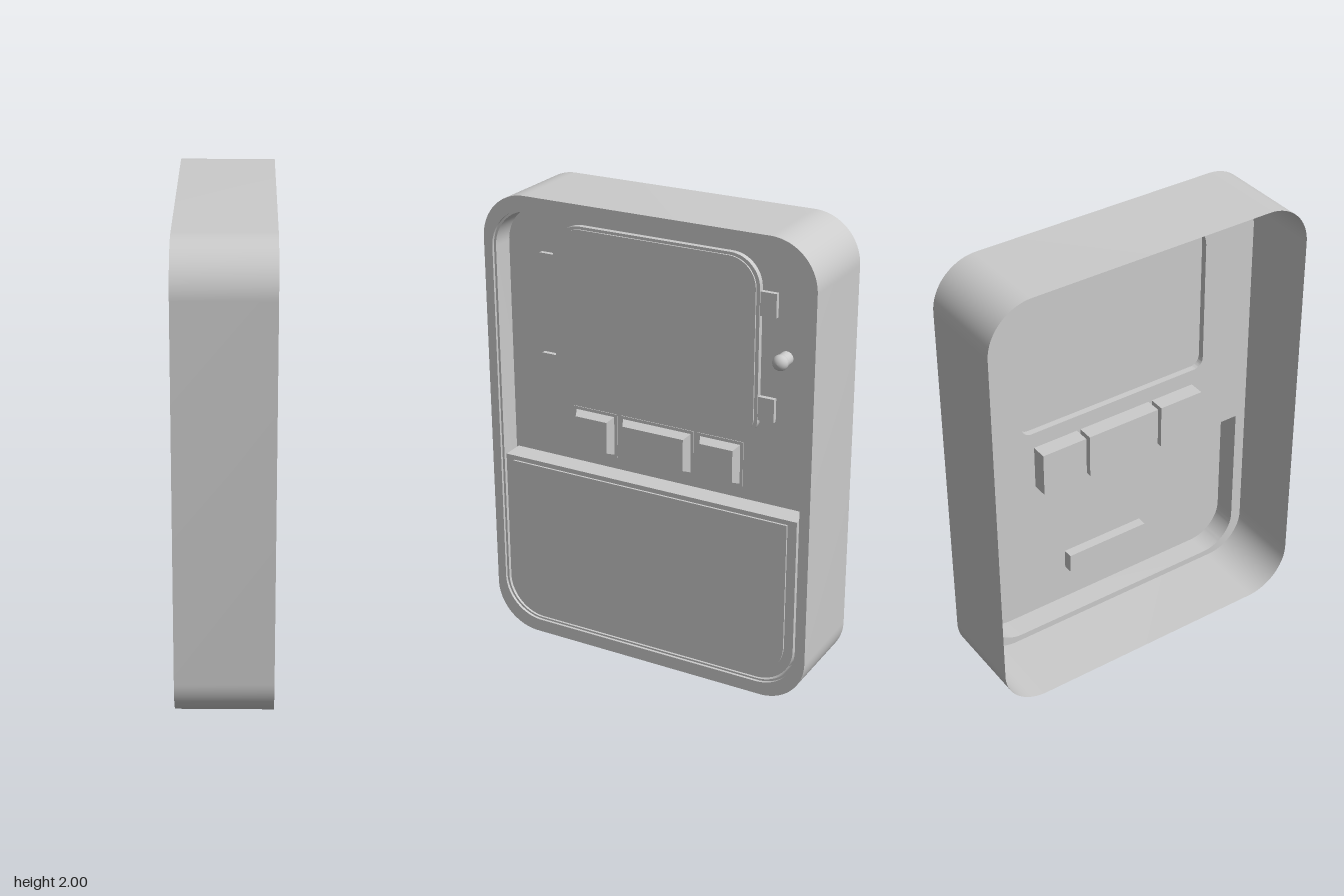
import * as THREE from 'three';
import { toCreasedNormals } from 'three/addons/utils/BufferGeometryUtils.js';

const material = new THREE.MeshStandardMaterial({ color: 0xcccccc, side: THREE.DoubleSide });

// Upright outline of half width w between heights y0 and y1, with its own top and bottom corner radii
function outline(w, y0, y1, rTop = 0, rBottom = rTop, centre = 0) {
  const s = new THREE.Shape();
  const corner = (cx, cy, r, start) => {
    if (r > 0) s.absarc(cx, cy, r, start, start + Math.PI / 2, false);
    else s.lineTo(cx, cy);
  };
  const a = centre - w, b = centre + w;
  s.moveTo(a + rBottom, y0);
  corner(b - rBottom, y0 + rBottom, rBottom, -Math.PI / 2);
  corner(b - rTop, y1 - rTop, rTop, 0);
  corner(a + rTop, y1 - rTop, rTop, Math.PI / 2);
  corner(a + rBottom, y0 + rBottom, rBottom, Math.PI);
  return s;
}

function withHoles(shape, ...holes) {
  const s = shape.clone();
  s.holes = holes;
  return s;
}

export function createModel() {
  const model = new THREE.Group();

  // Outlines are drawn facing +z, then turned to face +x
  const add = (name, geometry, x = 0) => {
    geometry.rotateY(Math.PI / 2).translate(x, 0, 0);
    const mesh = new THREE.Mesh(geometry, material);
    mesh.name = name;
    model.add(mesh);
    return mesh;
  };
  const extrude = (shape, depth) => new THREE.ExtrudeGeometry(shape, { depth, bevelEnabled: false, curveSegments: 12 });

  // Solid slab between two depths
  const slab = (name, shape, x0, x1) => add(name, toCreasedNormals(extrude(shape, x1 - x0), 0.6), x0);

  // Open sheet following an outline, without end caps
  const wall = (name, shape, x0, x1) => {
    const full = extrude(shape, x1 - x0);
    const sides = full.groups[1];
    const g = new THREE.BufferGeometry();
    const p = full.attributes.position.array.slice(sides.start * 3, (sides.start + sides.count) * 3);
    g.setAttribute('position', new THREE.BufferAttribute(p, 3));
    return add(name, toCreasedNormals(g, 0.6), x0);
  };
  const face = (name, shape, x) => add(name, new THREE.ShapeGeometry(shape, 12), x);

  // Casing: thin skin open at the back, with a stepped front rim
  const outer = outline(0.75, 0, 2, 0.2);
  const step = outline(0.71, 0.058, 1.942, 0.18);
  const inner = outline(0.7, 0.066, 1.934, 0.172);
  wall('casingSkin', outer, -0.2, 0.2);
  face('frontRim', withHoles(outer, step), 0.2);
  wall('rimStep', step, 0.188, 0.2);
  face('rimLedge', withHoles(step, inner), 0.188);
  wall('rimInnerWall', inner, 0.08, 0.188);

  // Back plate, open behind the hollow screen and lower cover
  const screenInner = outline(0.455, 1.153, 1.868, 0.12, 0.045);
  const coverInner = outline(0.65, 0.095, 0.81, 0, 0.155);
  slab('upperPanel', withHoles(inner, screenInner, coverInner), 0.08, 0.09);

  // Screen: bezel, raised pane and four side tabs
  slab('screenBezel', withHoles(outline(0.47, 1.14, 1.88, 0.13, 0.055), screenInner), 0.09, 0.114);
  slab('screenPane', screenInner, 0.108, 0.121);
  for (const side of [-1, 1])
    for (const y of [1.2, 1.64])
      slab('screenTab', outline(0.036, y, y + 0.1, 0, 0, side * 0.504), 0.09, 0.11);

  // Lower cover: deep frame with a slightly raised front
  slab('coverFrame', withHoles(outline(0.69, 0.072, 0.83, 0, 0.168), coverInner), 0.085, 0.187);
  slab('coverFront', coverInner, 0.184, 0.196);
  slab('coverBackRib', outline(0.2, 0.27, 0.36), 0.14, 0.186);

  // Buttons: housing behind the panel and a tapered key in front
  for (const [centre, w] of [[-0.295, 0.105], [0, 0.173], [0.295, 0.105]]) {
    slab('buttonHousing', outline(w, 0.88, 1.08, 0, 0, centre), 0.01, 0.093);
    const key = new THREE.BoxGeometry(2 * w - 0.024, 0.176, 0.04);
    const p = key.attributes.position;
    for (let i = 0; i < p.count; i++)
      if (p.getZ(i) > 0) p.setXY(i, p.getX(i) - Math.sign(p.getX(i)) * 0.018, p.getY(i) - Math.sign(p.getY(i)) * 0.018);
    key.computeVertexNormals();
    key.translate(centre, 0.98, 0);
    add('buttonKey', key, 0.11);
  }

  // Round-tipped peg
  const profile = [new THREE.Vector2(0.029, 0), new THREE.Vector2(0.029, 0.05)];
  for (let i = 0; i <= 8; i++) {
    const a = -0.45 + (i / 8) * (Math.PI / 2 + 0.45);
    profile.push(new THREE.Vector2(Math.max(0, 0.033 * Math.cos(a)), 0.062 + 0.03 * Math.sin(a)));
  }
  const peg = new THREE.LatheGeometry(profile, 20).rotateX(Math.PI / 2).translate(0.58, 1.478, 0);
  add('peg', peg, 0.085);

  return model;
}
